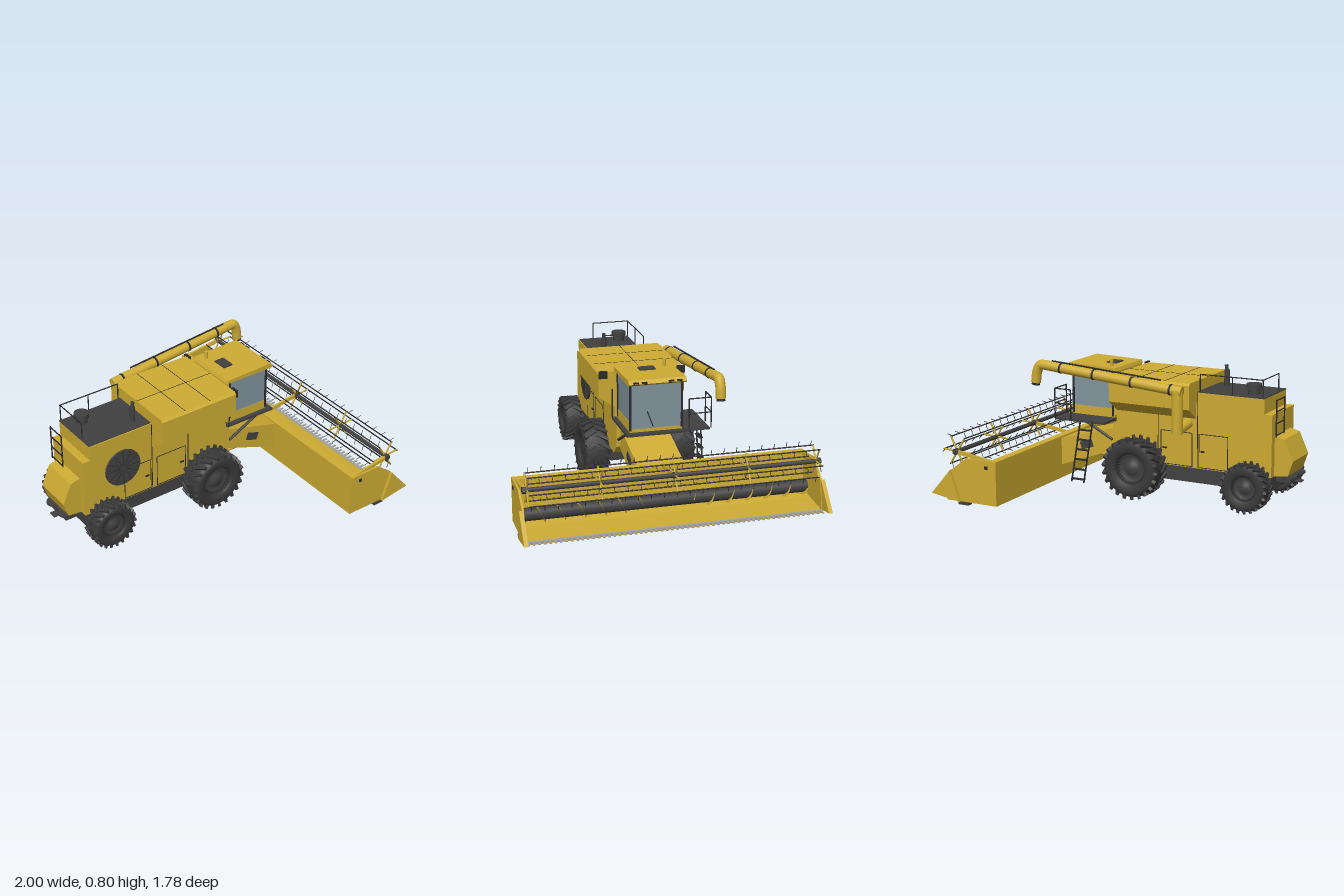
import * as THREE from 'three';
import { mergeGeometries } from 'three/addons/utils/BufferGeometryUtils.js';
import { ParametricGeometry } from 'three/addons/geometries/ParametricGeometry.js';

const material = (name, color) => {
  const m = new THREE.MeshStandardMaterial({ color, side: THREE.DoubleSide });
  m.name = name;
  return m;
};

const V = (x, y, z) => new THREE.Vector3(x, y, z);
const boxG = (w, h, d, x, y, z) => new THREE.BoxGeometry(w, h, d).translate(x, y, z);

// Round bar between two points
function rodG(a, b, r, sides = 6) {
  const p = V(...a), q = V(...b), dir = q.clone().sub(p);
  const g = new THREE.CylinderGeometry(r, r, dir.length(), sides);
  g.applyQuaternion(new THREE.Quaternion().setFromUnitVectors(V(0, 1, 0), dir.normalize()));
  const c = p.add(q).multiplyScalar(0.5);
  return g.translate(c.x, c.y, c.z);
}

// Side outline (x, y) extruded across z
function slabG(points, depth, z = 0) {
  const shape = new THREE.Shape(points.map(p => new THREE.Vector2(...p)));
  return new THREE.ExtrudeGeometry(shape, { depth, bevelEnabled: false }).translate(0, 0, z - depth / 2);
}

export function createModel() {
  const yellow = material('harvester yellow', 0xcdab33);
  const dark = material('dark grey', 0x414141);
  const black = material('trim black', 0x2b2b2b);
  const tyreMat = material('tyre rubber', 0x393939);
  const glass = material('cab glass', 0x80949b);
  const steel = material('knife steel', 0xa2a2a2);
  const model = new THREE.Group();
  model.name = 'combineHarvester';

  const add = (name, geometry, mat, parent = model) => {
    const mesh = new THREE.Mesh(Array.isArray(geometry) ? mergeGeometries(geometry) : geometry, mat);
    mesh.name = name;
    parent.add(mesh);
    return mesh;
  };

  // Main body, chassis and rear hood
  add('body', slabG([[-0.87, 0.2], [0.1, 0.2], [0.17, 0.26], [0.17, 0.4], [0.14, 0.45], [0.14, 0.6], [-0.4, 0.6],
    [-0.4, 0.66], [-0.82, 0.66], [-0.82, 0.57], [-0.87, 0.57]], 0.33), yellow);
  add('chassis', boxG(0.86, 0.09, 0.32, -0.43, 0.155, 0), dark);
  add('engineDeck', boxG(0.42, 0.006, 0.325, -0.61, 0.662, -0.005), dark);
  add('rearHood', slabG([[-0.87, 0.2], [-0.87, 0.44], [-0.93, 0.425], [-0.985, 0.3], [-0.955, 0.21]], 0.24), yellow);
  add('rearHitch', [boxG(0.09, 0.03, 0.2, -0.92, 0.18, 0), boxG(0.13, 0.006, 0.05, -0.935, 0.16, 0)], dark);
  for (const z of [-0.065, 0.065])
    add('strawSpreader', new THREE.CylinderGeometry(0.045, 0.045, 0.012, 20).translate(-0.945, 0.195, z), dark);

  // Door seams and handles on both flanks
  const seams = [];
  for (const z of [-0.1655, 0.1655]) {
    for (const [x0, x1] of [[-0.595, -0.41], [-0.365, -0.16]]) {
      for (const y of [0.207, 0.41]) seams.push(boxG(x1 - x0, 0.004, 0.003, (x0 + x1) / 2, y, z));
      for (const x of [x0, x1]) seams.push(boxG(0.004, 0.203, 0.003, x, 0.308, z));
      seams.push(boxG(0.025, 0.01, 0.01, x1 - 0.025, 0.305, z));
    }
    seams.push(boxG(0.004, 0.45, 0.003, -0.4, 0.43, z), boxG(0.004, 0.3, 0.003, -0.14, 0.36, z));
  }
  add('doorSeams', seams, black);

  // Round cooling screen on the +z flank
  const fan = new THREE.CylinderGeometry(0.118, 0.118, 0.012, 40).rotateX(Math.PI / 2);
  add('coolingScreen', fan.translate(-0.607, 0.44, 0.17), dark);
  const ribs = [];
  for (let i = 0; i < 12; i++)
    ribs.push(boxG(0.003, 0.095, 0.003, 0, 0.065, 0).rotateZ(i * Math.PI / 6).translate(-0.607, 0.44, 0.177));
  add('screenRibs', ribs, black);

  // Grain tank, sloping in at the bottom
  add('grainTank', slabG([[-0.165, 0.5], [0.165, 0.5], [0.265, 0.57], [0.265, 0.712], [0.25, 0.725],
    [-0.25, 0.725], [-0.265, 0.712], [-0.265, 0.57]], 0.53).rotateY(Math.PI / 2).translate(-0.125, 0, 0), yellow);
  const lidSeams = [-0.22, -0.04].map(x => boxG(0.003, 0.003, 0.5, x, 0.725, 0));
  add('tankLidSeams', [...lidSeams, boxG(0.53, 0.003, 0.003, -0.125, 0.725, 0)], black);
  add('tankLamps', [-0.24, 0.24].map(z => boxG(0.015, 0.045, 0.05, 0.146, 0.71, z)), black);

  // Engine deck fittings
  add('airIntake', [new THREE.CylinderGeometry(0.035, 0.035, 0.05, 20).translate(-0.72, 0.685, -0.08),
    new THREE.CylinderGeometry(0.045, 0.045, 0.025, 20).translate(-0.72, 0.715, -0.08)], dark);
  add('exhaust', [rodG([-0.475, 0.66, 0.08], [-0.475, 0.76, 0.08], 0.017, 12),
    rodG([-0.475, 0.75, 0.08], [-0.47, 0.79, 0.08], 0.011, 10)], dark);
  const rail = [rodG([-0.81, 0.768, -0.165], [-0.415, 0.768, -0.165], 0.0035),
    rodG([-0.81, 0.768, -0.165], [-0.81, 0.768, 0.07], 0.0035)];
  for (const [x, z] of [[-0.81, -0.165], [-0.62, -0.165], [-0.415, -0.165], [-0.81, 0.07]])
    rail.push(rodG([x, 0.66, z], [x, 0.768, z], 0.0035));
  add('deckRail', rail, black);
  const rear = [-0.15, -0.03].map(z => rodG([-0.89, 0.44, z], [-0.89, 0.66, z], 0.004));
  for (const y of [0.45, 0.52, 0.59, 0.655]) rear.push(rodG([-0.89, y, -0.15], [-0.89, y, -0.03], 0.004));
  add('rearLadder', rear, black);

  // Cab
  add('cabBase', boxG(0.29, 0.06, 0.315, 0.305, 0.473, 0), yellow);
  add('cabBack', boxG(0.03, 0.27, 0.315, 0.155, 0.6, 0), yellow);
  add('cabGlass', [boxG(0.278, 0.235, 0.31, 0.309, 0.618, 0), boxG(0.006, 0.27, 0.295, 0.45, 0.6, 0)], glass);
  const pillars = [];
  for (const z of [-0.155, 0.155]) for (const x of [0.172, 0.447])
    pillars.push(boxG(0.012, 0.28, 0.012, x, 0.595, z));
  add('cabPillars', [...pillars, rodG([0.456, 0.475, 0.02], [0.456, 0.57, 0.055], 0.003)], black);
  add('cabRoof', slabG([[0.14, 0.733], [0.475, 0.733], [0.49, 0.745], [0.47, 0.765], [0.15, 0.755]], 0.345), yellow);
  add('roofHatch', boxG(0.065, 0.008, 0.095, 0.243, 0.762, 0), dark);
  add('roofLamps', [-0.13, -0.08, 0.08, 0.13].map(z => boxG(0.008, 0.016, 0.032, 0.485, 0.748, z)), black);
  add('beacon', rodG([0.2, 0.755, -0.12], [0.2, 0.8, -0.12], 0.011, 10), yellow);

  // Platform, handrail and access ladder on the -z side
  add('platform', [boxG(0.345, 0.014, 0.15, 0.315, 0.443, -0.24), boxG(0.345, 0.014, 0.36, 0.315, 0.437, 0.005)], dark);
  const hand = [];
  for (const [x, z] of [[0.37, -0.325], [0.48, -0.325], [0.48, -0.19]]) hand.push(rodG([x, 0.445, z], [x, 0.63, z], 0.004));
  for (const y of [0.54, 0.63]) hand.push(rodG([0.37, y, -0.325], [0.48, y, -0.325], 0.004),
    rodG([0.48, y, -0.325], [0.48, y, -0.19], 0.004));
  hand.push(rodG([0.15, 0.445, 0.185], [0.15, 0.62, 0.185], 0.004));
  add('handrail', hand, black);
  const ladder = [0, 0.085].map(o => rodG([0.225 + o, 0.44, -0.315], [0.29 + o, 0.06, -0.315], 0.005));
  for (let i = 0; i < 6; i++) {
    const y = 0.08 + i * 0.062, x = 0.29 - (y - 0.06) * 0.171;
    ladder.push(boxG(0.085, 0.006, 0.025, x + 0.0425, y, -0.315));
  }
  add('accessLadder', ladder, black);

  // Unloading pipe: upright, long pipe, spout
  add('unloadingPipe', [rodG([-0.335, 0.43, -0.303], [-0.335, 0.685, -0.303], 0.034, 20),
    rodG([-0.335, 0.45, -0.303], [-0.335, 0.47, -0.15], 0.032, 16),
    rodG([-0.365, 0.683, -0.303], [0.54, 0.77, -0.337], 0.03, 20)], yellow);
  add('spout', new THREE.TubeGeometry(new THREE.CatmullRomCurve3([V(0.53, 0.769, -0.337), V(0.57, 0.768, -0.338),
    V(0.592, 0.73, -0.339), V(0.603, 0.66, -0.339)]), 16, 0.03, 16), yellow);
  add('spoutLip', rodG([0.602, 0.665, -0.339], [0.606, 0.645, -0.339], 0.025, 16), black);
  const rings = [-0.3, -0.05, 0.2, 0.42].map(x => {
    const t = (x + 0.365) / 0.905, c = [x, 0.683 + 0.087 * t, -0.303 - 0.034 * t];
    return rodG(c, [c[0] + 0.012, c[1] + 0.001, c[2]], 0.033, 20);
  });
  add('pipeBands', [...rings, rodG([-0.23, 0.742, -0.31], [0.49, 0.798, -0.335], 0.005)], black);

  // Wheels with chevron lugs
  function wheel(x, r, z, w) {
    const g = new THREE.Group();
    g.name = r > 0.16 ? 'frontWheel' : 'rearWheel';
    const R = r * 0.94, h = w / 2;
    const outline = [[0.55, -0.75], [0.62, -0.95], [0.85, -1], [0.96, -0.85], [1, -0.5],
      [1, 0.5], [0.96, 0.85], [0.85, 1], [0.62, 0.95], [0.55, 0.75]];
    add('tyre', new THREE.LatheGeometry(outline.map(p => new THREE.Vector2(p[0] * R, p[1] * h)), 40).rotateX(Math.PI / 2), tyreMat, g);
    const rim = [[0, -0.7], [0.2, -0.7], [0.22, -0.45], [0.45, -0.4], [0.56, -0.78],
      [0.56, 0.78], [0.45, 0.4], [0.22, 0.45], [0.2, 0.7], [0, 0.7]];
    add('rim', new THREE.LatheGeometry(rim.map(p => new THREE.Vector2(p[0] * R, p[1] * h)), 28).rotateX(Math.PI / 2), dark, g);
    const lugs = [], n = 22;
    for (let i = 0; i < n; i++) for (const s of [-1, 1])
      lugs.push(boxG(r * 0.1, r * 0.13, h * 1.0, 0, 0, 0).rotateY(s * 0.55)
        .translate(0, R - r * 0.005, s * h * 0.5).rotateZ((i + (s > 0 ? 0.5 : 0)) * 2 * Math.PI / n));
    add('tyreLugs', lugs, tyreMat, g);
    g.position.set(x, r + 0.004, z);
    model.add(g);
  }
  for (const s of [-1, 1]) {
    wheel(-0.035, 0.184, s * 0.27, 0.15);
    wheel(-0.75, 0.145, s * 0.245, 0.115);
  }
  add('axles', [rodG([-0.035, 0.188, -0.25], [-0.035, 0.188, 0.25], 0.04, 14),
    rodG([-0.75, 0.149, -0.23], [-0.75, 0.149, 0.23], 0.028, 12)], dark);

  // Feeder house and its lift rams
  add('feederHouse', slabG([[0.15, 0.25], [0.56, 0.1], [0.56, 0.272], [0.17, 0.38]], 0.28), yellow);
  add('feederCovers', [-0.142, 0.142].map(z => boxG(0.085, 0.05, 0.005, 0, 0, 0).rotateZ(-0.32).translate(0.368, 0.255, z)), dark);
  for (const z of [-0.155, 0.155]) {
    add('feederStrut', rodG([0.18, 0.31, z], [0.42, 0.435, z], 0.009, 8), dark);
    add('liftRam', rodG([0.08, 0.205, z * 0.7], [0.32, 0.2, z * 0.7], 0.011, 8), yellow);
  }

  // Header trough, end plates and crop dividers
  add('headerTrough', slabG([[0.55, 0.02], [0.9, 0.015], [0.9, 0.035], [0.72, 0.045], [0.62, 0.06], [0.605, 0.15],
    [0.6, 0.285], [0.55, 0.285]], 1.73), yellow);
  const skids = [];
  for (const s of [-1, 1]) {
    add('endPlate', slabG([[0.55, 0.02], [0.8, 0.02], [0.9, 0.025], [0.863, 0.205], [0.755, 0.285], [0.55, 0.285]], 0.012, s * 0.868), yellow);
    add('cropDivider', slabG([[0.8, 0.02], [0.998, 0.05], [0.863, 0.205]], 0.024, s * 0.878), yellow);
    add('endPlateCap', boxG(0.018, 0.018, 0.01, 0.615, 0.245, s * 0.876), black);
    for (const z of [0.29, 0.57, 0.86]) skids.push(boxG(0.07, 0.018, 0.04, 0.78, 0.011, s * z));
  }
  add('skidShoes', skids, dark);
  const knives = [boxG(0.02, 0.008, 1.72, 0.905, 0.033, 0)];
  for (let i = 0; i < 58; i++) knives.push(boxG(0.035, 0.006, 0.012, 0.928, 0.033, -0.855 + i * 0.03));
  add('cutterBar', knives, steel);

  // Cross auger with opposed flights
  add('augerDrum', rodG([0.672, 0.1, -0.855], [0.672, 0.1, 0.855], 0.038, 24), dark);
  for (const s of [-1, 1])
    add('augerFlight', new ParametricGeometry((u, v, p) => {
      const a = u * Math.PI * 2 * 6, r = 0.036 + v * 0.019;
      p.set(0.672 + r * Math.cos(a), 0.1 + r * Math.sin(a), s * (0.15 + u * 0.7));
    }, 144, 1), yellow);

  // Reel: tube, spiders, bats with tines, carrying arms
  const cx = 0.837, cy = 0.313, R = 0.095, bats = [], tines = [], spokes = [];
  add('reelTube', rodG([cx, cy, -0.85], [cx, cy, 0.85], 0.013, 14), dark);
  for (let i = 0; i < 6; i++) {
    const a = i * Math.PI / 3 + 0.05, x = cx + R * Math.cos(a), y = cy + R * Math.sin(a);
    bats.push(rodG([x, y, -0.845], [x, y, 0.845], 0.004));
    for (const z of [-0.84, -0.43, 0, 0.43, 0.84]) spokes.push(rodG([cx, cy, z], [x, y, z], 0.0055));
    for (let k = 0; k < 23; k++) {
      const z = -0.825 + k * 0.075;
      tines.push(rodG([x, y, z], [x + 0.035 * Math.cos(a - 0.9), y + 0.035 * Math.sin(a - 0.9), z], 0.002, 4));
    }
  }
  add('reelBats', bats, black);
  add('reelTines', tines, black);
  add('reelSpiders', spokes, yellow);
  for (const z of [-0.855, 0, 0.855]) {
    add('reelArm', slabG([[0.57, 0.265], [cx, cy - 0.012], [cx + 0.02, cy], [cx, cy + 0.012], [0.57, 0.285]], 0.014, z), yellow);
    add('reelHub', rodG([cx, cy, z - 0.012], [cx, cy, z + 0.012], 0.019, 14), dark);
  }
  return model;
}
